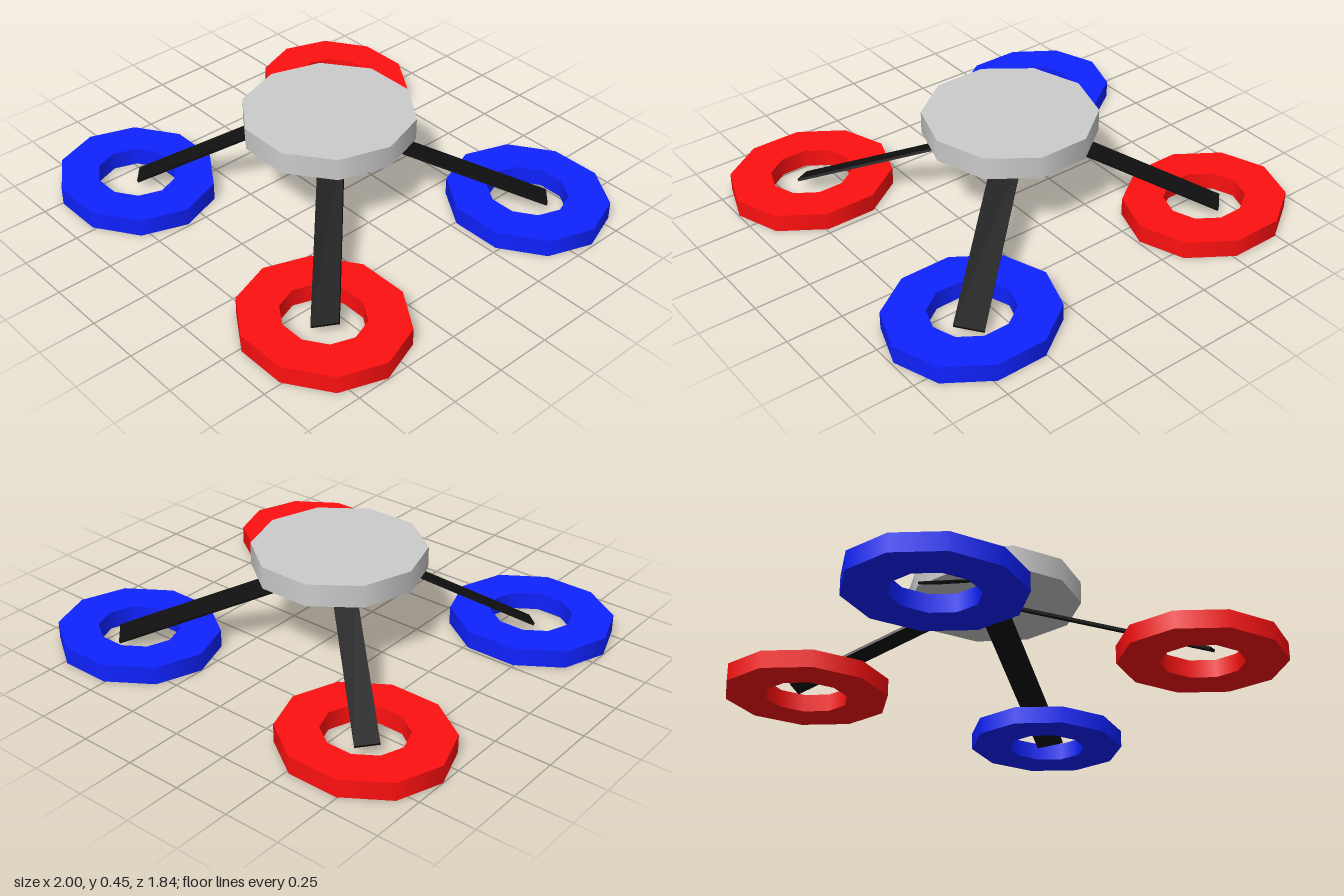
import * as THREE from 'three';
import { mergeGeometries } from 'three/addons/utils/BufferGeometryUtils.js';

const SIDES = 10;
const grey = new THREE.MeshStandardMaterial({ color: 0xcccccc });
const red = new THREE.MeshStandardMaterial({ color: 0xff1010 });
const blue = new THREE.MeshStandardMaterial({ color: 0x0f22ff });
const black = new THREE.MeshStandardMaterial({ color: 0x101010 });

// Ten-sided ring: each profile edge is its own lathe, so the rims stay sharp
function ringGeometry(inner, outer, height) {
  const profile = [[inner, 0], [outer, 0], [outer, height], [inner, height]]
    .map(([r, y]) => new THREE.Vector2(r, y));
  const bands = profile.map((p, i) =>
    new THREE.LatheGeometry([p, profile[(i + 1) % 4]], SIDES, Math.PI / 2));
  return mergeGeometries(bands);
}

// Flat strip between two points, rolled about its own length
function makeArm(name, from, to, width, roll) {
  const a = new THREE.Vector3(...from);
  const b = new THREE.Vector3(...to);
  const arm = new THREE.Mesh(new THREE.BoxGeometry(width, 0.012, a.distanceTo(b)), black);
  arm.position.copy(a).add(b).multiplyScalar(0.5);
  arm.lookAt(b);
  arm.rotateZ(roll * Math.sign(to[0] * to[2]));
  arm.name = name;
  return arm;
}

export function createModel() {
  const model = new THREE.Group();
  model.name = 'quadcopter';

  // Central disc
  const body = new THREE.Mesh(
    new THREE.CylinderGeometry(0.38, 0.38, 0.1, SIDES, 1, false, Math.PI / 2), grey);
  body.position.set(-0.02, 0.4, -0.01);
  body.name = 'body';
  model.add(body);

  // Rotor guards and the arms that carry them
  const ring = ringGeometry(0.185, 0.37, 0.08);
  const corners = [
    { name: 'frontLeft', mat: red, centre: [0.627, 0.597],
      from: [0.02, 0.355, 0.007], to: [0.663, 0.055, 0.62], width: 0.117, roll: 0.31 },
    { name: 'frontRight', mat: blue, centre: [-0.63, 0.587],
      from: [-0.215, 0.355, 0.15], to: [-0.643, 0.048, 0.57], width: 0.092, roll: 0.1 },
    { name: 'backLeft', mat: blue, centre: [0.62, -0.6],
      from: [0.02, 0.355, -0.075], to: [0.68, 0.046, -0.66], width: 0.125, roll: 0.12 },
    { name: 'backRight', mat: red, centre: [-0.63, -0.6],
      from: [-0.145, 0.355, -0.14], to: [-0.675, 0.05, -0.645], width: 0.102, roll: 0.1 },
  ];
  for (const c of corners) {
    const guard = new THREE.Mesh(ring, c.mat);
    guard.scale.z = 0.91;
    guard.position.set(c.centre[0], 0, c.centre[1]);
    guard.name = c.name + 'RotorGuard';
    model.add(guard, makeArm(c.name + 'Arm', c.from, c.to, c.width, c.roll));
  }
  return model;
}
